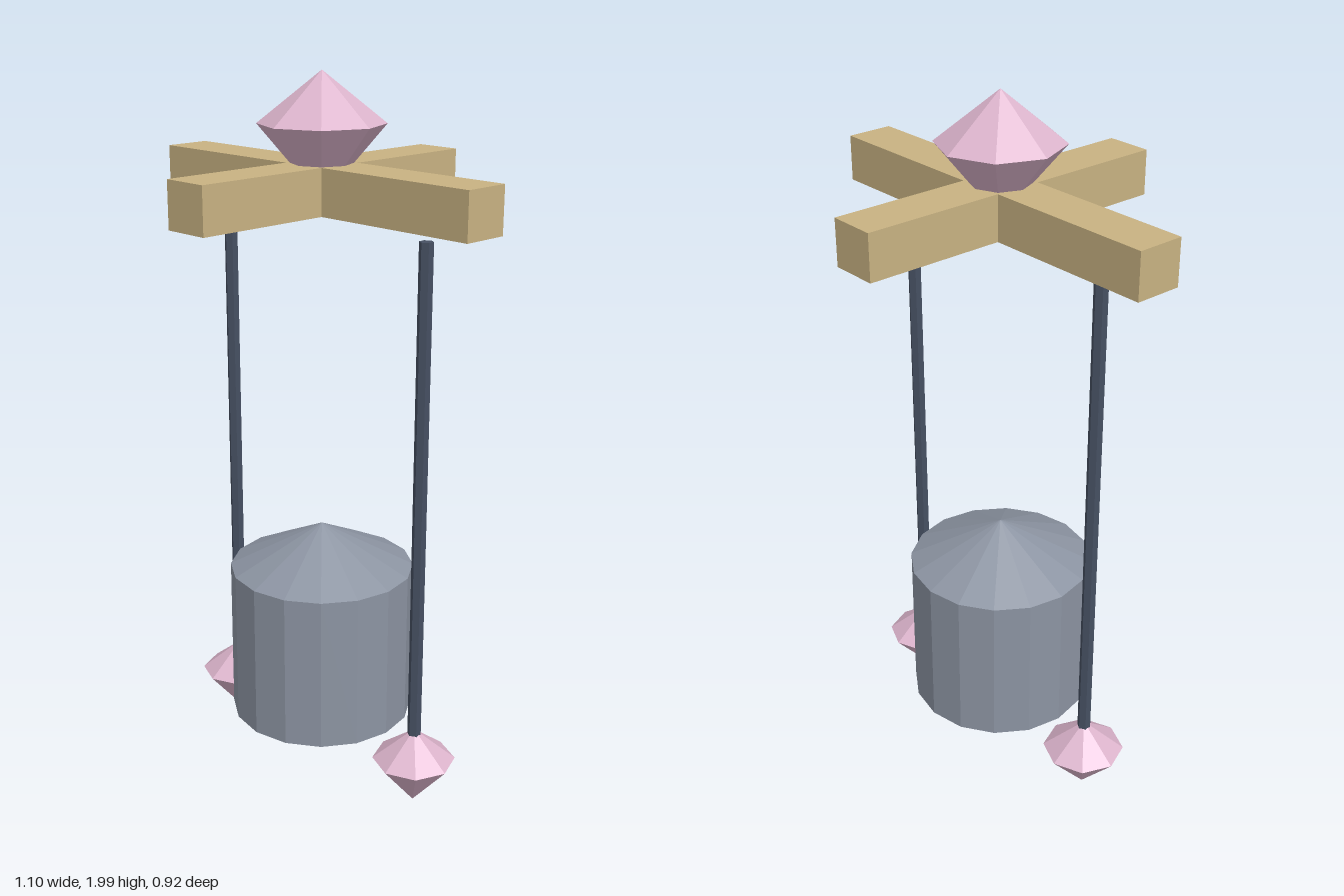
import * as THREE from 'three';

const mat = (name, color) => {
  const m = new THREE.MeshStandardMaterial({ color, flatShading: true });
  m.name = name;
  return m;
};

export function createModel() {
  const model = new THREE.Group();
  model.name = 'hangingChime';
  const wood = mat('paleWood', 0xc8b282);
  const steel = mat('greySteel', 0x8c94a2);
  const darkMetal = mat('darkMetal', 0x465062);
  const pink = mat('pinkCrystal', 0xdcb4cc);

  const add = (name, geometry, material, x = 0, y = 0, z = 0) => {
    const mesh = new THREE.Mesh(geometry, material);
    mesh.name = name;
    mesh.position.set(x, y, z);
    model.add(mesh);
    return mesh;
  };

  // Closed faceted solid turned from [radius, height] pairs, bottom to top
  const turned = (points, sides) =>
    new THREE.LatheGeometry(points.map(([r, y]) => new THREE.Vector2(r, y)), sides);

  // Eight-sided gem, measured from its girdle
  const gem = (r) => turned([[0, -1.17 * r], [r, 0], [0, 0.79 * r]], 8);

  // Crossed beams as one plus-shaped slab
  const w = 0.066, lx = 0.552, lz = 0.46;
  const plus = new THREE.Shape([
    [lx, -w], [lx, w], [w, w], [w, lz], [-w, lz], [-w, w],
    [-lx, w], [-lx, -w], [-w, -w], [-w, -lz], [w, -lz], [w, -w],
  ].map(([x, y]) => new THREE.Vector2(x, y)));
  const slab = new THREE.ExtrudeGeometry(plus, { depth: 0.125, bevelEnabled: false });
  slab.rotateX(-Math.PI / 2);
  add('crossBeams', slab, wood, 0, 1.64, 0);

  // Crystal set into the middle of the beams
  add('topCrystal', gem(0.17), pink, 0, 1.866, 0);

  // Central drum with pointed ends
  add('drum', turned([[0, 0.02], [0.262, 0.177], [0.262, 0.622], [0, 0.75]], 16), steel);

  // Side rods with crystal weights
  for (const [side, s] of [['left', 1], ['right', -1]]) {
    const x = s * 0.368;
    add(side + 'Rod', new THREE.CylinderGeometry(0.019, 0.019, 1.41, 6), darkMetal, x, 0.905, 0);
    add(side + 'Crystal', gem(0.116), pink, x, 0.144, 0);
  }

  return model;
}
